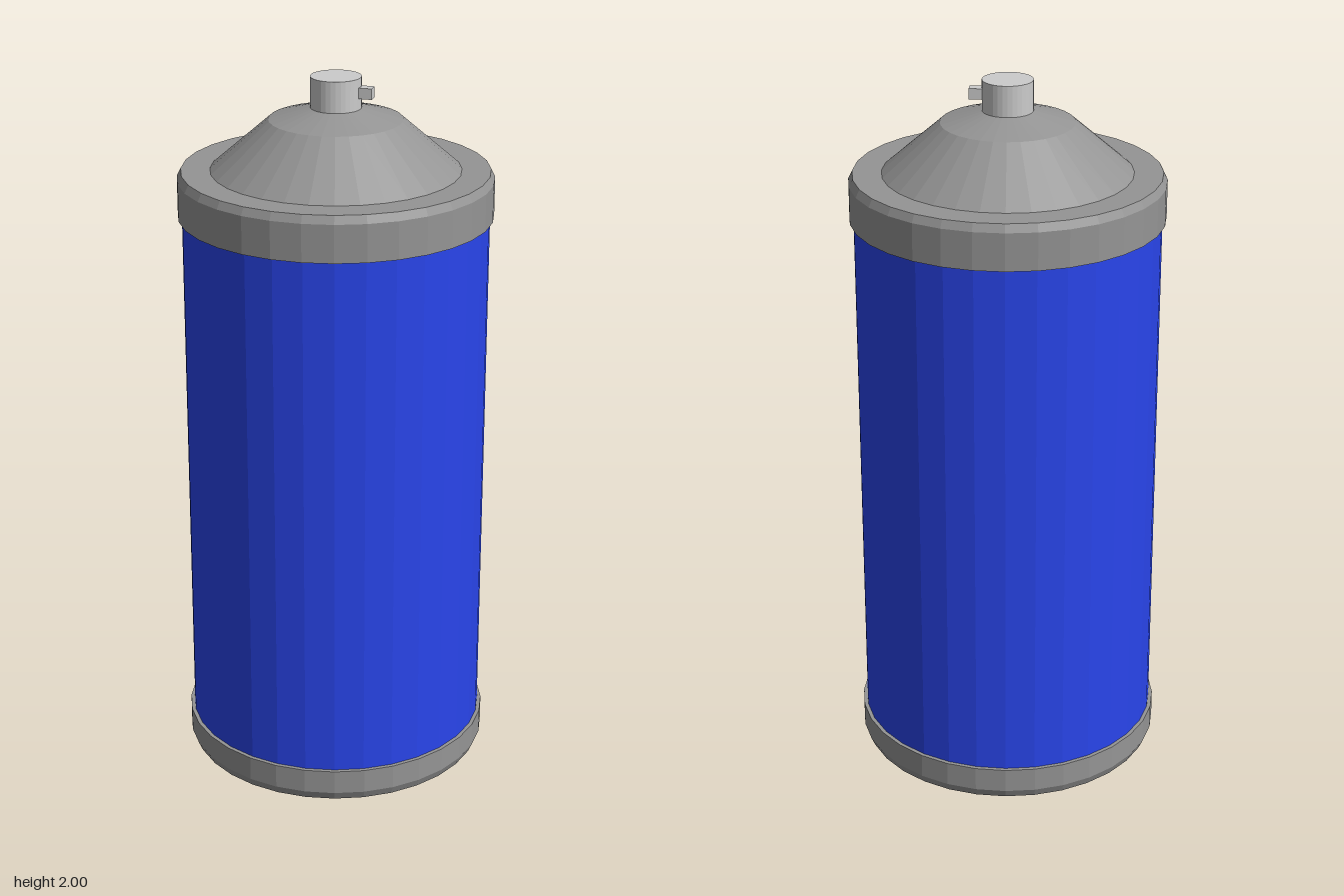
import * as THREE from 'three';

const SIDES = 32;

function material(color) {
  return new THREE.MeshStandardMaterial({ color, flatShading: true });
}

// Faceted turned part from [radius, height] points listed bottom to top
function turned(name, points, mat) {
  const profile = points.map(([r, y]) => new THREE.Vector2(r, y));
  const mesh = new THREE.Mesh(new THREE.LatheGeometry(profile, SIDES), mat);
  mesh.name = name;
  return mesh;
}

export function createModel() {
  const model = new THREE.Group();
  model.name = 'sprayCan';

  const metal = material(0x959595);
  const paint = material(0x2945ec);
  const plastic = material(0xcccccc);

  // Painted wall, tucked into both rims
  model.add(turned('body', [[0.425, 0.08], [0.425, 1.63]], paint));

  // Bottom rim with chamfered foot and closed base
  model.add(turned('bottomRim',
    [[0, 0], [0.425, 0], [0.436, 0.025], [0.436, 0.095], [0.424, 0.095]], metal));

  // Top rim with chamfered shoulder
  model.add(turned('topRim',
    [[0.424, 1.615], [0.436, 1.615], [0.436, 1.72], [0.425, 1.742], [0.34, 1.742]], metal));

  // Conical dome
  model.add(turned('dome',
    [[0.345, 1.742], [0.184, 1.882], [0.07, 1.914], [0, 1.914]], metal));

  // Push button
  const button = new THREE.Mesh(new THREE.CylinderGeometry(0.07, 0.07, 0.1, SIDES), plastic);
  button.name = 'button';
  button.position.y = 1.95;
  model.add(button);

  // Small square spout on the front left of the button
  const nozzle = new THREE.Group();
  nozzle.name = 'nozzle';
  nozzle.rotation.y = THREE.MathUtils.degToRad(40);
  const spout = new THREE.Mesh(new THREE.BoxGeometry(0.03, 0.03, 0.045), plastic);
  spout.name = 'spout';
  spout.position.set(0, 1.96, 0.082);
  nozzle.add(spout);
  model.add(nozzle);

  return model;
}
